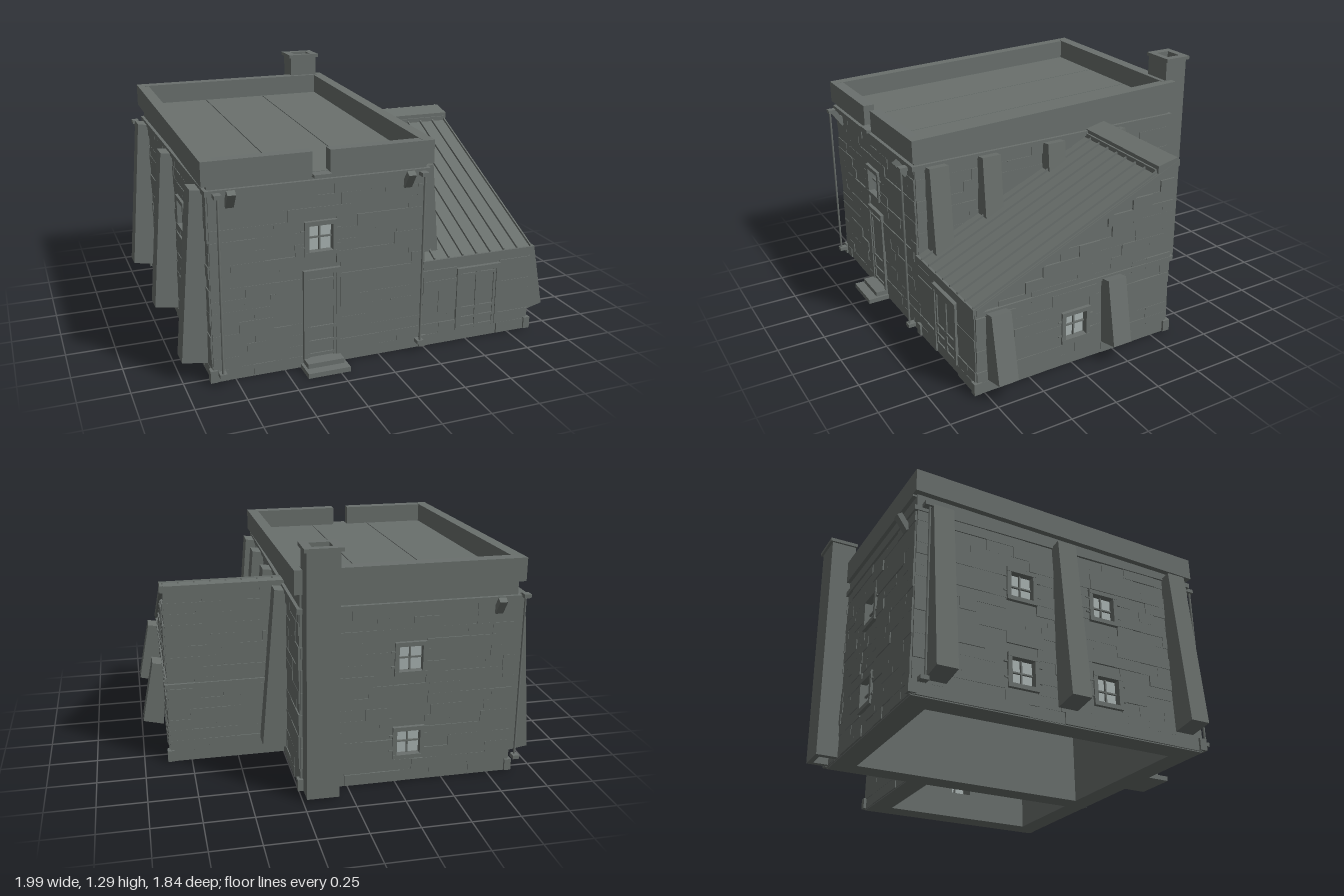
import * as THREE from 'three';
import { mergeGeometries } from 'three/addons/utils/BufferGeometryUtils.js';

const stone = new THREE.MeshStandardMaterial({ color: 0x6a706d });
stone.name = 'grey stone';
const glass = new THREE.MeshStandardMaterial({ color: 0xa9b3b2, side: THREE.DoubleSide });
glass.name = 'pale glass';

let seed = 7;
const rand = () => (seed = (seed * 16807) % 2147483647) / 2147483647;

function add(parent, name, geo, mat = stone) {
  const m = new THREE.Mesh(geo, mat);
  m.name = name;
  parent.add(m);
  return m;
}
// Box given by its limits on each axis
function boxGeo(x0, x1, y0, y1, z0, z1) {
  return new THREE.BoxGeometry(x1 - x0, y1 - y0, z1 - z0)
    .translate((x0 + x1) / 2, (y0 + y1) / 2, (z0 + z1) / 2);
}
const box = (p, name, ...b) => add(p, name, boxGeo(...b));
const polygon = pts => new THREE.Shape(pts.map(([a, b]) => new THREE.Vector2(a, b)));
const extrude = (shape, depth) => new THREE.ExtrudeGeometry(shape, { depth, bevelEnabled: false });
// Profile in (z, y) swept from x0 to x1
const sidePrism = (pts, x0, x1) =>
  extrude(polygon(pts.map(([z, y]) => [-z, y])), x1 - x0).rotateY(Math.PI / 2).translate(x0, 0, 0);

// Rows of slightly uneven blocks over a wall, leaving the openings free
function blocks(p, x0, x1, y0, topAt, gaps) {
  const h = 0.059, geos = [];
  for (let y = y0; y < 1; y += h) {
    let spans = [[x0, x1]];
    for (const [a, b, c, d] of gaps) {
      if (y + h <= c || y >= d) continue;
      spans = spans.flatMap(([s, e]) => [[s, Math.min(e, a)], [Math.max(s, b), e]]).filter(([s, e]) => e - s > 0.01);
    }
    for (const [s, e] of spans) {
      for (let x = s; x < e - 0.001;) {
        let end = Math.min(e, x + 0.08 + rand() * 0.14);
        if (e - end < 0.04) end = e;
        const depth = 0.003 + rand() * 0.008;
        if (Math.min(topAt(x), topAt(end)) >= y + h) geos.push(boxGeo(x, end, y, y + h, -0.002, depth));
        x = end;
      }
    }
  }
  add(p, 'stoneBlocks', mergeGeometries(geos));
}

// Four-pane window centred at cx, cy on a wall plane
function windowUnit(p, cx, cy) {
  const g = new THREE.Group();
  g.name = 'window';
  g.position.set(cx, cy, 0);
  p.add(g);
  for (const s of [-1, 1]) {
    box(g, 'windowJamb', s * 0.072 - 0.011, s * 0.072 + 0.011, -0.088, 0.088, -0.03, 0.017);
    box(g, 'windowRail', -0.083, 0.083, s * 0.077 - 0.011, s * 0.077 + 0.011, -0.03, 0.019);
    for (const y of [-0.04, 0.04]) box(g, 'shutterPin', s * 0.092 - 0.009, s * 0.092 + 0.009, y - 0.004, y + 0.004, 0, 0.014);
  }
  box(g, 'uprightBar', -0.004, 0.004, -0.067, 0.067, -0.03, -0.008);
  box(g, 'crossBar', -0.062, 0.062, -0.004, 0.004, -0.03, -0.008);
  add(g, 'pane', boxGeo(-0.062, 0.062, -0.067, 0.067, -0.022, -0.018), glass);
}

function door(p, x0, x1, y0, y1, leaves) {
  const g = new THREE.Group();
  g.name = 'door';
  p.add(g);
  box(g, 'doorLeaf', x0, x1, y0, y1, -0.01, 0.006);
  box(g, 'doorJamb', x0, x0 + 0.02, y0, y1, 0, 0.018);
  box(g, 'doorJamb', x1 - 0.02, x1, y0, y1, 0, 0.018);
  box(g, 'doorLintel', x0, x1, y1 - 0.025, y1, 0, 0.02);
  const w = (x1 - x0 - 0.04) / leaves;
  for (let i = 0; i < leaves; i++) {
    const a = x0 + 0.02 + i * w, b = a + w;
    for (const t of [0.03, 0.18, 0.34, 0.88]) {
      const y = y0 + (y1 - y0) * t;
      box(g, 'doorRail', a, b, y - 0.007, y + 0.007, 0, 0.013);
    }
    for (const x of [a, b - 0.014]) box(g, 'doorStile', x, x + 0.014, y0, y1 - 0.025, 0, 0.012);
  }
}

// Wall plane: local x along the wall, z outward
function wall(root, name, pos, turn, outline, thick, windows, topAt, gaps = [], start = 0.005) {
  const g = new THREE.Group();
  g.name = name;
  g.position.set(...pos);
  g.rotation.y = turn;
  root.add(g);
  const shape = polygon(outline);
  for (const [x, y] of windows) {
    shape.holes.push(new THREE.Path([[-1, -1], [-1, 1], [1, 1], [1, -1]]
      .map(([a, b]) => new THREE.Vector2(x + a * 0.063, y + b * 0.068))));
    windowUnit(g, x, y);
  }
  add(g, 'wallBody', extrude(shape, thick).translate(0, 0, -thick));
  const xs = outline.map(q => q[0]);
  blocks(g, Math.min(...xs), Math.max(...xs), start, topAt,
    [...windows.map(([x, y]) => [x - 0.083, x + 0.083, y - 0.088, y + 0.088]), ...gaps]);
  return g;
}

// Sloping support with its foot standing away from the wall
function buttress(root, side, wallX, z, profile) {
  add(root, 'buttress', extrude(polygon(profile.map(([d, y]) => [wallX + side * d, y])), 0.105).translate(0, 0, z - 0.0525));
}

function drainPipe(root, x, z) {
  add(root, 'drainPipe', new THREE.CylinderGeometry(0.006, 0.006, 0.9, 8).translate(x, 0.505, z));
  for (const y of [0.06, 0.95]) box(root, 'pipeCollar', x - 0.018, x + 0.018, y - 0.01, y + 0.01, z - 0.03, z + 0.012);
}

export function createModel() {
  const root = new THREE.Group();
  root.name = 'stoneHouse';
  const L = -0.86, R = 0.24, F = 0.79, B = -0.79, T = 0.12, E = 0.86, H = Math.PI / 2;

  // Main block walls
  const rect = (a, b, h) => [[a, 0], [b, 0], [b, h], [a, h]];
  const front = wall(root, 'frontWall', [0, 0, F], 0, rect(L, R, 1), T, [[-0.315, 0.675]], () => 0.96, [[-0.41, -0.21, 0, 0.515]]);
  wall(root, 'backWall', [0, 0, B], Math.PI, rect(-R, -L, 1.04), T, [[0.315, 0.22], [0.315, 0.675]], () => 0.96);
  wall(root, 'leftWall', [L, 0, 0], -H, [[B, 0], [F, 0], [F, 1], [B, 1.04]], T,
    [[-0.235, 0.22], [0.235, 0.22], [-0.235, 0.675], [0.235, 0.675]], () => 0.96);
  wall(root, 'rightWall', [R, 0, 0], H, [[-F, 0], [-B, 0], [-B, 1.04], [-F, 1]], T, [], () => 0.96, [[-0.7, 0.3, 0, 0.42]]);
  door(front, -0.405, -0.215, 0.05, 0.515, 1);
  box(root, 'lowerStep', -0.42, -0.2, 0, 0.025, 0.78, 0.915);
  box(root, 'upperStep', -0.405, -0.215, 0.025, 0.05, 0.78, 0.865);

  // String course below the parapet
  box(root, 'frontCourse', L - 0.015, R + 0.015, 0.942, 0.968, F - 0.02, F + 0.018);
  box(root, 'backCourse', L - 0.015, R + 0.015, 0.942, 0.968, B - 0.018, B + 0.02);
  for (const x of [L, R]) box(root, 'sideCourse', x - 0.016, x + 0.016, 0.942, 0.968, B - 0.01, F + 0.01);

  // Sloping roof deck in three sheets
  for (let i = 0; i < 3; i++) {
    const a = -0.84 + i * 0.355, b = a + 0.35;
    add(root, 'roofDeck', sidePrism([[0.78, 0.975], [0.78, 1.002], [-0.78, 1.052], [-0.78, 1.02]], a, b));
  }
  box(root, 'deckSupport', L + 0.02, R - 0.02, 0.96, 0.99, B + 0.02, F - 0.02);

  // Parapet with a drain notch at the front
  const rail = [[0.81, 0.99], [0.81, 1.108], [-0.81, 1.16], [-0.81, 1.04]];
  add(root, 'leftParapet', sidePrism(rail, -0.89, -0.83));
  add(root, 'rightParapet', sidePrism(rail, 0.21, 0.27));
  for (const [a, b] of [[-0.85, -0.36], [-0.27, 0.23]]) box(root, 'frontParapet', a, b, 0.99, 1.108, 0.75, 0.81);
  box(root, 'backParapet', -0.85, 0.23, 1.03, 1.16, -0.81, -0.745);
  box(root, 'drainSpout', -0.36, -0.27, 0.985, 1.0, 0.74, 0.835);

  // Chimney, open at the top
  const tube = (x0, x1, z0, z1, y0, y1) => {
    const s = polygon([[x0, -z1], [x1, -z1], [x1, -z0], [x0, -z0]]);
    s.holes.push(new THREE.Path([[0.1, 0.8], [0.1, 0.88], [0.2, 0.88], [0.2, 0.8]].map(([a, b]) => new THREE.Vector2(a, b))));
    return extrude(s, y1 - y0).rotateX(-H).translate(0, y0, 0);
  };
  add(root, 'chimney', tube(0.067, 0.23, -0.907, -0.77, 0.01, 1.27));
  add(root, 'chimneyCap', tube(0.055, 0.243, -0.92, -0.765, 1.268, 1.287));

  // Lean-to walls
  const slope = z => 0.478 + 0.45 * (0.8 - z);
  const annex = wall(root, 'annexFront', [0, 0, F], 0, rect(R, E, 0.45), T, [], () => 0.44, [[0.43, 0.68, 0.06, 0.41]]);
  door(annex, 0.43, 0.68, 0.065, 0.41, 2);
  wall(root, 'annexSide', [E, 0, 0], H, [[-F, 0], [0.34, 0], [0.34, 0.96], [-F, 0.455]], T,
    [[-0.235, 0.22]], x => slope(-x) - 0.03);
  wall(root, 'annexBack', [0, 0, -0.34], Math.PI, rect(-E, -R, 0.955), T, [], () => 0.96);
  box(root, 'annexSideCourse', E - 0.01, E + 0.014, 0.428, 0.45, -0.358, 0.8);
  box(root, 'annexBackCourse', R, E + 0.014, 0.428, 0.45, -0.358, -0.33);
  box(root, 'annexGutter', 0.235, 0.872, 0.43, 0.475, 0.77, 0.805);

  // Lean-to roof with standing seams and ridge capping
  const band = (z0, z1, low, high) => [[z0, slope(z0) + low], [z0, slope(z0) + high], [z1, slope(z1) + high], [z1, slope(z1) + low]];
  add(root, 'annexRoof', sidePrism(band(0.8, -0.35, -0.035, -0.006), R, 0.872));
  add(root, 'roofVerge', sidePrism(band(0.79, -0.36, -0.045, -0.012), 0.855, 0.878));
  for (let i = 0; i < 8; i++) {
    const x = 0.3 + i * 0.08;
    add(root, 'roofSeam', sidePrism(band(0.8, -0.35, -0.01, 0.007), x - 0.004, x + 0.004));
  }
  add(root, 'ridgeCap', sidePrism([[-0.23, 0.935], [-0.23, 0.975], [-0.345, 1.0], [-0.36, 0.985], [-0.36, 0.95]], R, 0.875));

  // Buttresses
  const tall = [[0.012, 0.08], [0.138, 0.1], [0.065, 0.96], [-0.01, 0.95]];
  const short = [[0.02, 0.078], [0.132, 0.105], [0.065, 0.448], [-0.005, 0.435]];
  for (const z of [-0.68, 0, 0.68]) buttress(root, -1, L, z, tall);
  for (const z of [-0.395, 0, 0.39, 0.685]) buttress(root, 1, R, z, tall);
  for (const z of [0.03, 0.685]) buttress(root, 1, E, z, short);

  // Corner stones at ground level
  for (const [x, z] of [[L, F], [L, B], [R, F], [R, B], [E, F], [E, -0.34]]) {
    box(root, 'cornerStone', x - 0.018, x + 0.018, 0.008, 0.07, z - 0.02, z + 0.02);
  }

  // Drain pipes and tilted wall lamps
  drainPipe(root, -0.825, 0.847);
  drainPipe(root, 0.205, 0.847);
  drainPipe(root, -0.92, -0.75);
  for (const x of [-0.76, 0.135]) {
    for (const s of [-1, 1]) {
      const lamp = box(root, 'wallLamp', -0.02, 0.02, -0.045, 0.045, -0.015, 0.015);
      lamp.position.set(x, 0.925, s * 0.82);
      lamp.rotation.x = s * 0.6;
      box(root, 'lampBracket', x - 0.012, x + 0.012, 0.915, 0.935, s * 0.8 - 0.02, s * 0.8 + 0.02);
    }
  }
  return root;
}
